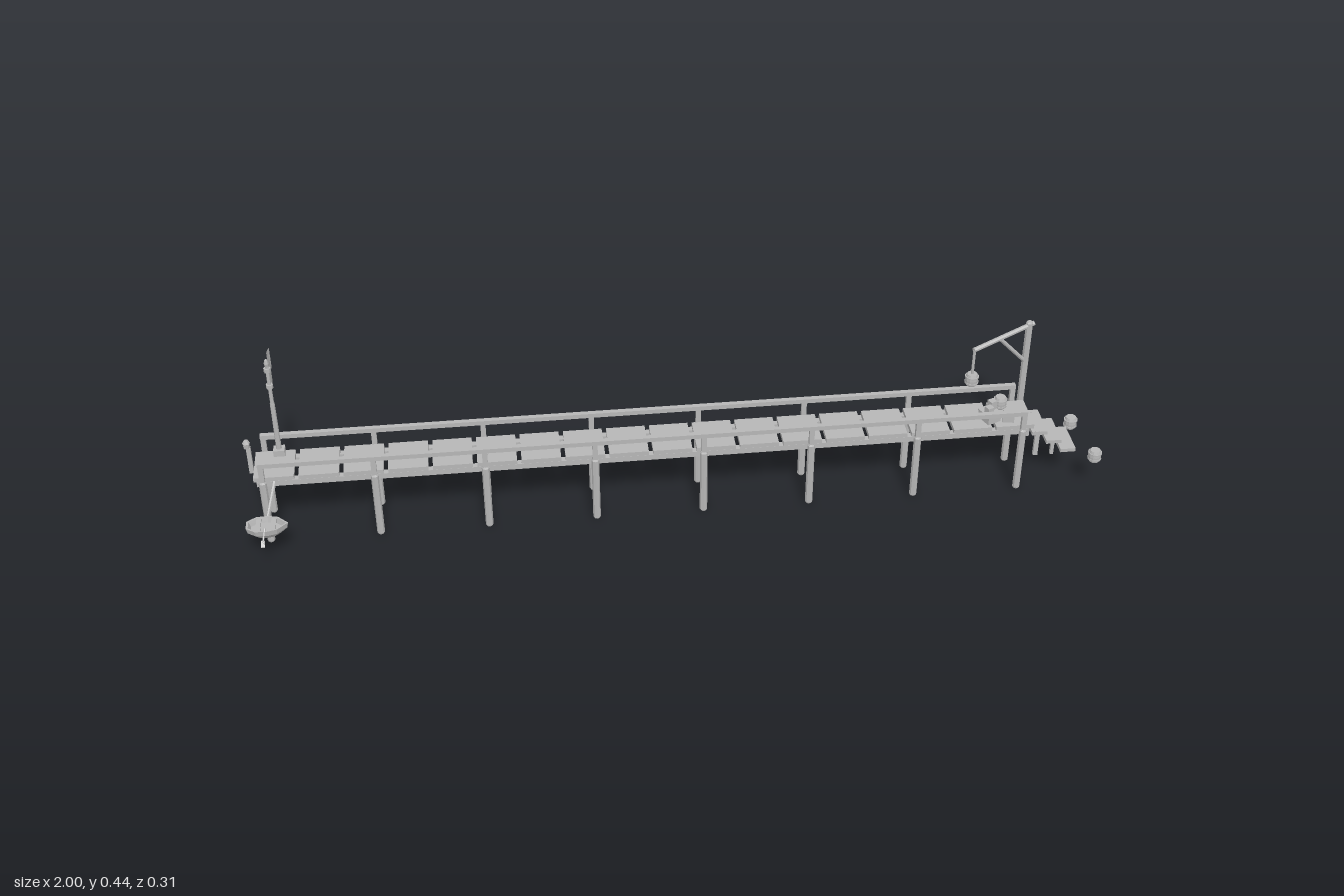
import * as THREE from 'three';

const stone = new THREE.MeshStandardMaterial({ color: 0xb6b6b6, flatShading: true, side: THREE.DoubleSide });
stone.name = 'plain grey';

function add(parent, name, geo, x = 0, y = 0, z = 0, ry = 0) {
  const m = new THREE.Mesh(geo, stone);
  m.name = name;
  m.position.set(x, y, z);
  m.rotation.y = ry;
  parent.add(m);
  return m;
}
const box = (parent, name, w, h, d, x, y, z, ry = 0) =>
  add(parent, name, new THREE.BoxGeometry(w, h, d), x, y, z, ry);

// round timber between two points
function beam(parent, name, a, b, r0, r1 = r0, sides = 8) {
  const p = new THREE.Vector3(...a), q = new THREE.Vector3(...b);
  const m = add(parent, name, new THREE.CylinderGeometry(r1, r0, p.distanceTo(q), sides));
  m.position.copy(p).add(q).multiplyScalar(0.5);
  m.quaternion.setFromUnitVectors(new THREE.Vector3(0, 1, 0), q.sub(p).normalize());
  return m;
}

function lathe(parent, name, pts, x, y, z, sides = 10) {
  return add(parent, name, new THREE.LatheGeometry(pts.map(p => new THREE.Vector2(...p)), sides), x, y, z);
}

// rounded-end pile standing on y0
function pile(parent, name, x, y0, y1, z, r) {
  lathe(parent, name, [[0, 0], [r * 0.7, 0], [r, 0.004], [r, y1 - y0 - 0.004], [r * 0.7, y1 - y0], [0, y1 - y0]], x, y0, z, 8);
}

// barrel with two hoops, standing on y
function barrel(parent, x, y, z) {
  const g = new THREE.Group();
  g.name = 'barrel';
  g.position.set(x, y, z);
  parent.add(g);
  lathe(g, 'staves', [[0, 0], [0.012, 0], [0.015, 0.009], [0.0155, 0.0155], [0.015, 0.022], [0.012, 0.031], [0, 0.031]], 0, 0, 0, 12);
  for (const h of [0.008, 0.023])
    add(g, 'hoop', new THREE.CylinderGeometry(0.0165, 0.0165, 0.004, 12), 0, h, 0);
}

// hull lofted through scaled copies of one plan outline
function hull() {
  const plan = [[-1, 0.45], [-0.55, 0.95], [0, 1], [0.5, 0.8], [1, 0],
    [0.5, -0.8], [0, -1], [-0.55, -0.95], [-1, -0.45]];
  const rings = [[0, 0, 0], [0.62, 0.58, 0], [0.93, 0.92, 0.013], [1, 1, 0.027], [0.9, 0.88, 0.027], [0.8, 0.75, 0.014], [0, 0, 0.014]];
  const pos = [], idx = [], n = plan.length;
  for (const [sx, sz, y] of rings)
    for (const [x, z] of plan) pos.push(x * sx * 0.047, y, z * sz * 0.029);
  for (let i = 0; i < rings.length - 1; i++)
    for (let j = 0; j < n; j++) {
      const a = i * n + j, b = i * n + (j + 1) % n;
      idx.push(a, a + n, b, b, a + n, b + n);
    }
  const g = new THREE.BufferGeometry();
  g.setAttribute('position', new THREE.Float32BufferAttribute(pos, 3));
  g.setIndex(idx);
  g.computeVertexNormals();
  return g;
}

export function createModel() {
  const root = new THREE.Group();
  root.name = 'pier';
  const sides = [0.026, -0.085];

  // piles, rail posts and handrails
  for (const z of sides) {
    for (let i = 0; i < 8; i++) {
      const x = -0.959 + i * 0.2518;
      pile(root, 'pile', x, 0, 0.172, z, 0.009);
      box(root, 'railPost', 0.012, 0.045, 0.01, x, 0.19, z);
    }
    box(root, 'handrail', 1.775, 0.011, 0.012, -0.078, 0.218, z);
  }

  // deck planks on long stringers
  for (let i = 0; i < 18; i++)
    box(root, 'plank', 0.091, 0.011, 0.102, -0.936 + i * 0.1012 + 0.002, 0.173, -0.03);
  for (const z of [0.014, -0.071])
    box(root, 'stringer', 1.79, 0.014, 0.015, -0.078, 0.161, z);

  // steps down from the deck end
  [0.147, 0.119, 0.091].forEach((y, i) => {
    box(root, 'step', 0.037, 0.009, 0.09, 0.85 + i * 0.0375, y, -0.03);
  });
  for (const z of [0.009, -0.069]) {
    box(root, 'stepPost', 0.011, 0.07, 0.008, 0.846, 0.117, z);
    box(root, 'stepPost', 0.008, 0.036, 0.008, 0.886, 0.1, z);
  }

  // hoist with hanging barrel
  const hoist = new THREE.Group();
  hoist.name = 'hoist';
  root.add(hoist);
  pile(hoist, 'hoistPost', 0.833, 0.081, 0.384, -0.108, 0.0085);
  beam(hoist, 'hoistArm', [0.845, 0.375, -0.113], [0.688, 0.352, -0.05], 0.006);
  beam(hoist, 'hoistBrace', [0.833, 0.272, -0.108], [0.757, 0.36, -0.077], 0.005);
  beam(hoist, 'hoistRope', [0.69, 0.352, -0.05], [0.69, 0.284, -0.05], 0.0035, 0.0035, 6);
  barrel(hoist, 0.69, 0.256, -0.05);

  // cargo on deck and floating barrels
  barrel(root, 0.768, 0.179, -0.057);
  barrel(root, 0.96, 0.081, -0.09);
  barrel(root, 0.98, 0.081, 0.048);
  box(root, 'crate', 0.036, 0.024, 0.04, 0.732, 0.19, -0.014, 0.4);
  box(root, 'crateLid', 0.039, 0.004, 0.043, 0.732, 0.2, -0.014, 0.4);
  for (const [x, z] of [[0.725, 0.001], [0.738, -0.024]])
    box(root, 'smallCrate', 0.016, 0.022, 0.016, x, 0.213, z, 0.4);
  box(root, 'smallCrate', 0.026, 0.022, 0.024, 0.775, 0.19, -0.005, -0.2);

  // lantern post at the far end
  box(root, 'lanternPost', 0.01, 0.07, 0.01, -0.987, 0.195, -0.03);
  lathe(root, 'lantern', [[0, 0], [0.007, 0], [0.008, 0.012], [0.009, 0.013], [0.005, 0.02], [0, 0.021]], -0.99, 0.229, -0.03, 8);

  // flagpole with collars, finial and waving flag
  const fx = -0.924, fz = -0.069;
  box(root, 'flagBase', 0.026, 0.016, 0.024, fx, 0.186, fz);
  beam(root, 'flagpole', [fx, 0.179, fz], [fx, 0.32, fz], 0.0065, 0.0055);
  beam(root, 'flagpoleTop', [fx, 0.32, fz], [fx, 0.425, fz], 0.0045, 0.004);
  for (const y of [0.411, 0.367])
    add(root, 'flagCollar', new THREE.CylinderGeometry(0.008, 0.008, 0.01, 8), fx, y, fz);
  lathe(root, 'finial', [[0, 0], [0.004, 0], [0.0055, 0.008], [0.003, 0.018], [0, 0.02]], fx, 0.42, fz, 8);
  const flag = new THREE.PlaneGeometry(0.078, 0.054, 10, 1);
  const fp = flag.attributes.position;
  for (let i = 0; i < fp.count; i++)
    fp.setZ(i, 0.005 * Math.sin((fp.getX(i) + 0.039) * 80));
  flag.computeVertexNormals();
  add(root, 'flag', flag, fx, 0.389, -0.112, Math.PI / 2);

  // rowing boat with bench, oar and mooring line
  const boat = new THREE.Group();
  boat.name = 'boat';
  boat.position.set(-0.953, 0.078, 0.096);
  root.add(boat);
  add(boat, 'hull', hull());
  for (const x of [-0.02, 0.014])
    box(boat, 'bench', 0.011, 0.004, 0.046, x, 0.023, 0);
  beam(boat, 'oar', [-0.003, 0.033, 0.024], [-0.008, 0.012, 0.05], 0.002, 0.002, 6);
  const blade = box(boat, 'oarBlade', 0.008, 0.003, 0.016, -0.008, 0.01, 0.051);
  blade.rotation.x = 0.68;
  beam(root, 'mooringLine', [-0.932, 0.168, 0.022], [-0.952, 0.107, 0.07], 0.0045, 0.0035, 6);

  return root;
}
